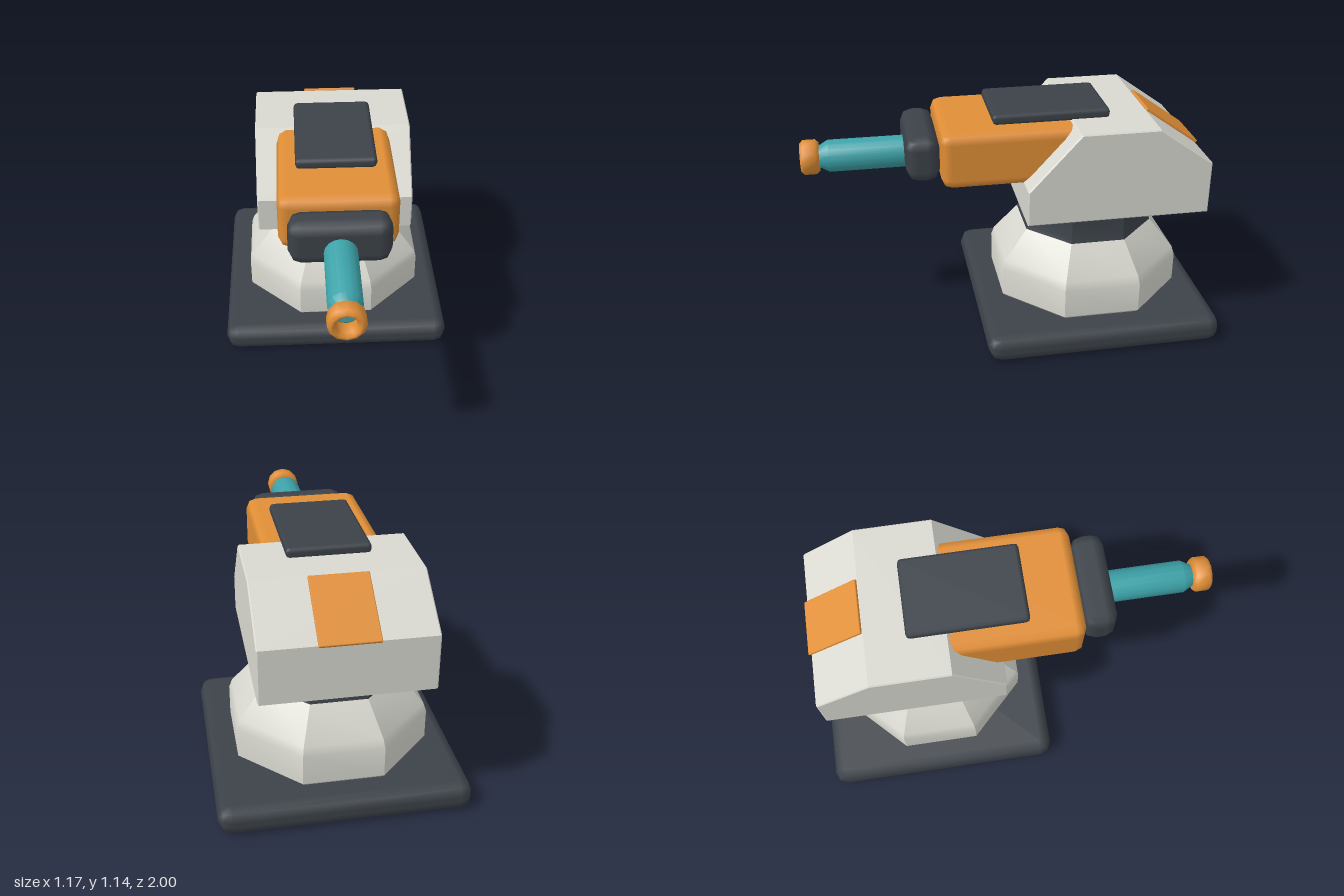
import * as THREE from 'three';
import { toCreasedNormals } from 'three/addons/utils/BufferGeometryUtils.js';
import { RoundedBoxGeometry } from 'three/addons/geometries/RoundedBoxGeometry.js';

function material(name, color) {
  const m = new THREE.MeshStandardMaterial({ color });
  m.name = name;
  return m;
}

export function createModel() {
  const group = new THREE.Group();
  const dark = material('charcoal', 0x3c4249);
  const light = material('paleGrey', 0xd8d8d0);
  const orange = material('orange', 0xe08e36);
  const teal = material('teal', 0x3ca2a8);
  const axisZ = -0.412; // turning axis of the turret

  function add(name, geometry, mat, x = 0, y = 0, z = 0) {
    const mesh = new THREE.Mesh(geometry, mat);
    mesh.name = name;
    mesh.position.set(x, y, z);
    group.add(mesh);
    return mesh;
  }

  // Soft-edged box given by its width and its y and z ranges
  function softBox(name, mat, width, y0, y1, z0, z1, radius) {
    const geometry = new RoundedBoxGeometry(width, y1 - y0, z1 - z0, 1, radius);
    return add(name, geometry, mat, 0, (y0 + y1) / 2, (z0 + z1) / 2);
  }

  function lathe(points, sides, phi = 0, crease = 0.6) {
    const profile = points.map(([r, h]) => new THREE.Vector2(r, h));
    return toCreasedNormals(new THREE.LatheGeometry(profile, sides, phi), crease);
  }

  // Eight-sided solid, with radii measured to the flats
  function octagon(points) {
    const k = 1 / Math.cos(Math.PI / 8);
    return lathe(points.map(([r, h]) => [r * k, h]), 8, Math.PI / 8);
  }

  // Base, pedestal and neck
  softBox('basePlate', dark, 1.17, 0, 0.14, -1, 0.17, 0.06);
  add('pedestal', octagon([
    [0, 0.14], [0.443, 0.14], [0.455, 0.153], [0.455, 0.3], [0.44, 0.345],
    [0.318, 0.5], [0, 0.5],
  ]), light, 0, 0, axisZ);
  add('neck', octagon([
    [0, 0.475], [0.331, 0.475], [0.317, 0.51], [0.315, 0.61], [0.298, 0.632], [0, 0.632],
  ]), dark, 0, 0, axisZ);

  // Wedge-shaped head, drawn from the side as (z, y)
  const side = new THREE.Shape([
    [-0.045, 0.648], [-0.045, 0.825], [-0.295, 1.1], [-0.672, 1.1], [-0.94, 0.91], [-0.94, 0.648],
  ].map(([z, y]) => new THREE.Vector2(z, y)));
  const bevel = 0.006;
  const head = new THREE.ExtrudeGeometry(side, {
    depth: 0.784 - 2 * bevel, bevelEnabled: true, bevelSegments: 1,
    bevelSize: bevel, bevelThickness: bevel, bevelOffset: -bevel,
  });
  head.translate(0, 0, -(0.392 - bevel));
  head.rotateY(-Math.PI / 2);
  add('head', head, light);

  // Housing, collar and top plate
  softBox('gunHousing', orange, 0.57, 0.81, 1.09, -0.36, 0.345, 0.05);
  softBox('collar', dark, 0.48, 0.833, 1.06, 0.343, 0.505, 0.06);
  softBox('topPlate', dark, 0.39, 1.09, 1.143, -0.48, 0.09, 0.02);

  // Panel lying on the rear slope
  const panel = add('rearPanel', new RoundedBoxGeometry(0.27, 0.016, 0.335, 1, 0.005),
    orange, 0, 1.006, -0.815);
  panel.rotation.x = -Math.atan2(0.19, 0.268);

  // Barrel and muzzle ring, turned to point forward
  const barrel = lathe([
    [0, 0.3], [0.078, 0.3], [0.078, 0.865], [0.053, 0.91], [0, 0.91],
  ], 16).rotateX(Math.PI / 2);
  add('barrel', barrel, teal, 0, 0.913, 0);
  const ring = lathe([
    [0.046, 0.928], [0.056, 0.91], [0.07, 0.91], [0.085, 0.926], [0.085, 0.984],
    [0.07, 1], [0.058, 1], [0.046, 0.982], [0.046, 0.928],
  ], 12, 0, 1).rotateX(Math.PI / 2);
  add('muzzleRing', ring, orange, 0, 0.913, 0);

  return group;
}
